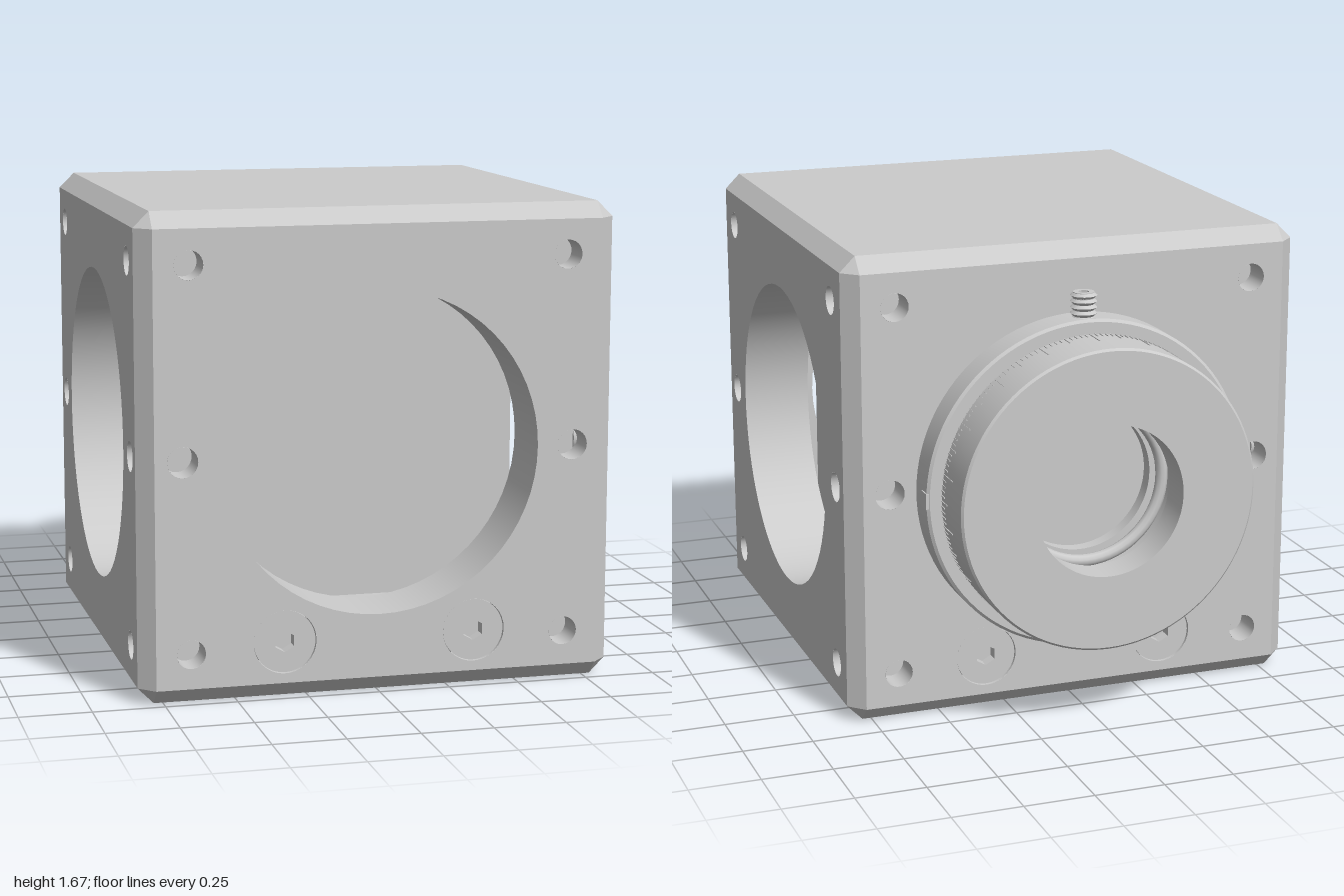
import * as THREE from 'three';
import { mergeGeometries, toCreasedNormals } from 'three/addons/utils/BufferGeometryUtils.js';

const H = 0.836;        // half size of the housing
const C = 0.055;        // chamfer
const A = H - C;        // half size of a flat face
const CAVITY = 0.585;   // half size of the inner cavity
const BORE = 0.56;
const Q = Math.PI / 2;

const grey = new THREE.MeshStandardMaterial({ color: 0xcccccc, side: THREE.DoubleSide });

function add(parent, name, geometry, x = 0, y = 0, z = 0) {
  const mesh = new THREE.Mesh(geometry, grey);
  mesh.name = name;
  mesh.position.set(x, y, z);
  parent.add(mesh);
  return mesh;
}

function square(half) {
  return new THREE.Shape([[-1, -1], [1, -1], [1, 1], [-1, 1]].map(([x, y]) => new THREE.Vector2(x * half, y * half)));
}

function circlePath(x, y, r) {
  return new THREE.Path().absarc(x, y, r, 0, Math.PI * 2, true);
}

function hexPath(r) {
  const points = [];
  for (let i = 0; i < 6; i++) points.push(new THREE.Vector2(r * Math.sin(-i * Math.PI / 3), r * Math.cos(i * Math.PI / 3)));
  return new THREE.Path(points);
}

// Open cylinder wall along z, from z0 inwards
function wall(r, depth, x, y, z0, segments = 24) {
  return new THREE.CylinderGeometry(r, r, depth, segments, 1, true).rotateX(Q).translate(x, y, z0 - depth / 2);
}

// Disc with a hexagonal socket, facing +z, its front at z = 0
function socketHead(r, hex, depth) {
  const shape = new THREE.Shape().absarc(0, 0, r, 0, Math.PI * 2);
  shape.holes.push(hexPath(hex));
  const head = new THREE.ExtrudeGeometry(shape, { depth, bevelEnabled: false, curveSegments: 24 }).translate(0, 0, -depth);
  const floor = new THREE.CircleGeometry(r, 24).translate(0, 0, -depth * 0.7);
  return mergeGeometries([head.index ? head.toNonIndexed() : head, floor.toNonIndexed()]);
}

// One side of the housing, made facing +z
function housingFace(name, { bore = false, blind = [], screws = [] }) {
  const face = new THREE.Group();
  face.name = name;
  const outer = square(A);
  const inner = square(CAVITY);
  if (bore) {
    outer.holes.push(circlePath(0, 0, BORE));
    inner.holes.push(circlePath(0, 0, BORE));
    add(face, 'boreWall', wall(BORE, H - CAVITY, 0, 0, H, 64));
  }
  for (const [x, y, r, depth] of blind) {
    outer.holes.push(circlePath(x, y, r));
    add(face, 'rodHole', mergeGeometries([
      wall(r, depth, x, y, H),
      new THREE.CircleGeometry(r, 24).translate(x, y, H - depth),
    ]));
  }
  for (const [x, y] of screws) {
    outer.holes.push(circlePath(x, y, 0.11));
    add(face, 'counterbore', wall(0.11, 0.06, x, y, H, 32));
    add(face, 'capScrew', socketHead(0.108, 0.038, 0.06), x, y, H - 0.008);
  }
  add(face, 'outerWall', new THREE.ShapeGeometry(outer, 32), 0, 0, H);
  add(face, 'innerWall', new THREE.ShapeGeometry(inner, 32), 0, 0, CAVITY);
  return face;
}

// Chamfered edges and corners of the housing
function chamfers() {
  const parts = [];
  for (let k = 0; k < 4; k++) {
    const strip = () => new THREE.PlaneGeometry(2 * A, C * Math.SQRT2).rotateX(-Math.PI / 4)
      .translate(0, H - C / 2, H - C / 2).rotateX(k * Q);
    parts.push(strip(), strip().rotateY(Q), strip().rotateZ(Q));
  }
  const flat = mergeGeometries(parts).toNonIndexed();
  flat.deleteAttribute('uv');
  const corners = [];
  for (const x of [-1, 1]) for (const y of [-1, 1]) for (const z of [-1, 1]) {
    const tri = [[H * x, A * y, A * z], [A * x, H * y, A * z], [A * x, A * y, H * z]];
    if (x * y * z < 0) tri.reverse();
    corners.push(...tri.flat());
  }
  const caps = new THREE.BufferGeometry();
  caps.setAttribute('position', new THREE.Float32BufferAttribute(corners, 3));
  caps.computeVertexNormals();
  return mergeGeometries([flat, caps]);
}

function lathe(points, segments) {
  return toCreasedNormals(new THREE.LatheGeometry(points.map(([r, y]) => new THREE.Vector2(r, y)), segments), 0.5);
}

// Rotating mount, built along +y
function rotationMount() {
  const mount = new THREE.Group();
  mount.name = 'rotationMount';
  add(mount, 'mountRing', lathe([[0.44, 0], [0.59, 0], [0.59, 0.11], [0.58, 0.118], [0.44, 0.118], [0.44, 0]], 96));
  add(mount, 'dial', lathe([
    [0.27, 0.329], [0.53, 0.329], [0.538, 0.321], [0.538, 0.122], [0.45, 0.122], [0.45, 0],
    [0.26, 0], [0.26, 0.05], [0.32, 0.05], [0.32, 0.2], [0.27, 0.2], [0.27, 0.329],
  ], 96));
  add(mount, 'retainingRing', new THREE.TorusGeometry(0.285, 0.022, 10, 64).rotateX(Q), 0, 0.1, 0);

  // Graduations every two degrees, longer at ten and twenty
  const ticks = [];
  for (let i = 0; i < 180; i++) {
    const length = i % 10 === 0 ? 0.09 : i % 5 === 0 ? 0.055 : 0.03;
    ticks.push(new THREE.BoxGeometry(0.004, length, 0.006)
      .translate(0, 0.124 + length / 2, 0.538).rotateY(i * Math.PI / 90));
  }
  add(mount, 'graduations', mergeGeometries(ticks));

  // Small index blocks on both flanks of the ring
  for (const s of [-1, 1]) add(mount, 'indexMark', new THREE.BoxGeometry(0.01, 0.055, 0.055), s * 0.588, 0.09, 0);

  // Threaded locking screw pointing up out of the ring
  const profile = [];
  for (let i = 0; i <= 12; i++) profile.push([i % 2 ? 0.047 : 0.036, 0.55 + i * 0.0105]);
  const screw = new THREE.Group();
  screw.name = 'lockingScrew';
  screw.position.y = 0.062;
  screw.rotation.x = Q;
  add(screw, 'thread', lathe(profile, 24));
  add(screw, 'socketEnd', socketHead(0.037, 0.02, 0.03).rotateX(-Q), 0, 0.677, 0);
  mount.add(screw);
  return mount;
}

export function createModel() {
  const model = new THREE.Group();
  model.name = 'opticsCube';
  const cube = new THREE.Group();
  cube.name = 'housing';
  cube.position.set(0, H, 0.165);
  model.add(cube);

  const blind = [];
  for (const x of [-1, 1]) {
    for (const y of [-1, 1]) blind.push([x * 0.66, y * 0.66, 0.05, 0.11]);
    blind.push([x * 0.685, 0, 0.053, 0.11]);
  }
  const screws = [[-0.335, -0.637], [0.335, -0.637]];

  // Four bored sides, screws on front and back only
  ['frontSide', 'leftSide', 'backSide', 'rightSide'].forEach((name, i) => {
    const side = housingFace(name, { bore: true, blind, screws: i % 2 ? [] : screws });
    side.rotation.y = i * Q;
    cube.add(side);
  });
  const top = housingFace('topSide', {});
  top.rotation.x = -Q;
  const bottom = housingFace('bottomSide', { blind: [[0, 0, 0.055, 0.2]] });
  bottom.rotation.x = Q;
  cube.add(top, bottom);
  add(cube, 'chamfers', chamfers());

  // Glass cube on its platform
  add(cube, 'prism', new THREE.BoxGeometry(1.106, 1.106, 1.106));
  add(cube, 'platform', new THREE.BoxGeometry(0.9, 0.035, 0.9), 0, -0.569, 0);

  const mount = rotationMount();
  mount.rotation.x = -Q;
  mount.position.z = -H;
  cube.add(mount);
  return model;
}
